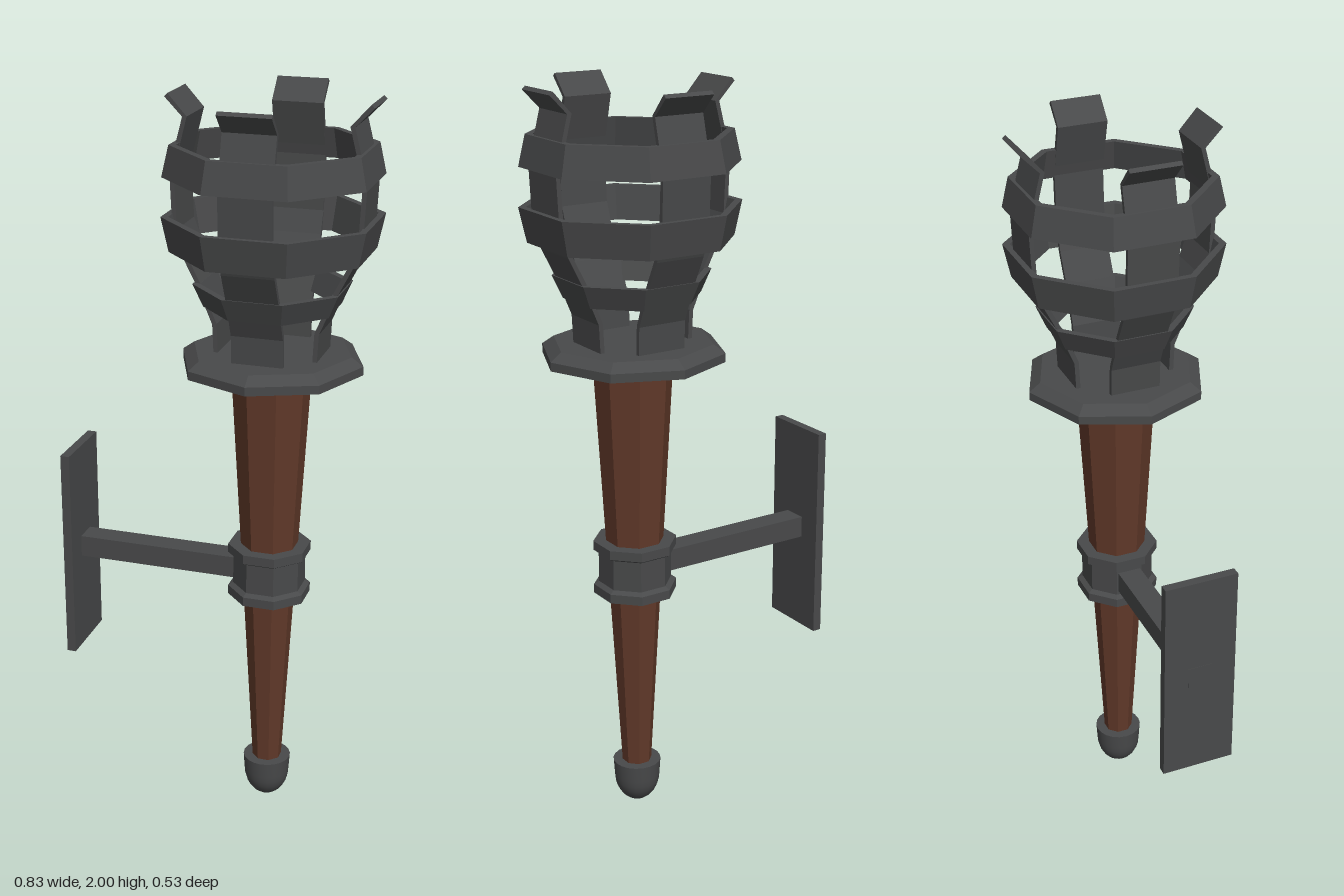
import * as THREE from 'three';
import { toCreasedNormals } from 'three/addons/utils/BufferGeometryUtils.js';

const AXIS_X = 0.148;
const FLAT = Math.PI / 8; // turns an octagon so its flats face the axes

export function createModel() {
  const model = new THREE.Group();
  model.name = 'wallTorch';
  const torch = new THREE.Group();
  torch.name = 'torch';
  torch.position.x = AXIS_X;
  model.add(torch);

  const iron = new THREE.MeshStandardMaterial({ color: 0x48494a, flatShading: true });
  const smoothIron = new THREE.MeshStandardMaterial({ color: 0x48494a });
  const wood = new THREE.MeshStandardMaterial({ color: 0x613929, flatShading: true });

  const add = (parent, name, geometry, material) => {
    const mesh = new THREE.Mesh(geometry, material);
    mesh.name = name;
    parent.add(mesh);
    return mesh;
  };
  const points = (list) => list.map(([a, b]) => new THREE.Vector2(a, b));

  // Eight-sided turning; profile radii are measured to the middle of a flat
  const octagon = (profile) => new THREE.LatheGeometry(
    points(profile.map(([r, y]) => [r / Math.cos(FLAT), y])), 8, FLAT);

  // Tapered wooden shaft
  add(torch, 'handle', octagon([[0, 0.1], [0.036, 0.1], [0.099, 1.31], [0, 1.31]]), wood);

  // Rounded pommel with a flat top
  const dome = [[0, 0.005]];
  for (let i = 1; i <= 7; i++) {
    const a = (i / 7) * Math.PI / 2;
    dome.push([0.063 * Math.sin(a), 0.085 - 0.08 * Math.cos(a)]);
  }
  dome.push([0.066, 0.13], [0, 0.13]);
  add(torch, 'pommel',
    toCreasedNormals(new THREE.LatheGeometry(points(dome), 20), 0.7), smoothIron);

  // Collar with a lip above and below
  add(torch, 'collar', octagon([
    [0.03, 0.645], [0.104, 0.645], [0.104, 0.67], [0.091, 0.678],
    [0.091, 0.762], [0.104, 0.77], [0.104, 0.795], [0.03, 0.795],
  ]), iron);

  // Bevelled plate under the basket, with corners on the axes
  add(torch, 'basketPlate', new THREE.LatheGeometry(points([
    [0, 1.3], [0.243, 1.3], [0.243, 1.323], [0.212, 1.345], [0, 1.345],
  ]), 8), iron);

  // Four bent upright straps
  const bend = points([
    [0.131, 1.335], [0.135, 1.42], [0.177, 1.52], [0.218, 1.6], [0.24, 1.66],
    [0.247, 1.81], [0.212, 1.945], [0.26, 1.996],
  ]);
  const offset = (d) => bend.map((p, i) => {
    const before = bend[Math.max(i - 1, 0)];
    const after = bend[Math.min(i + 1, bend.length - 1)];
    const t = after.clone().sub(before).normalize();
    return new THREE.Vector2(p.x + t.y * d, p.y - t.x * d);
  });
  const strapShape = new THREE.Shape([...offset(0.006), ...offset(-0.006).reverse()]);
  const strap = new THREE.ExtrudeGeometry(strapShape, { depth: 0.136, bevelEnabled: false });
  strap.translate(0, 0, -0.068);
  for (let i = 0; i < 4; i++) {
    add(torch, 'basketStrap' + (i + 1), strap, iron).rotation.y = i * Math.PI / 2;
  }

  // Three octagonal hoops: bottom y, bottom radius, top y, top radius
  const hoops = [
    [1.465, 0.165, 1.525, 0.19],
    [1.61, 0.245, 1.7, 0.263],
    [1.8, 0.26, 1.88, 0.243],
  ];
  hoops.forEach(([y0, r0, y1, r1], i) => {
    const t = 0.018;
    add(torch, 'basketHoop' + (i + 1), octagon([
      [r0 - t, y0], [r0, y0], [r1, y1], [r1 - t, y1], [r0 - t, y0],
    ]), iron);
  });

  // Wall bracket: arm passing into an upright back plate
  const arm = add(model, 'bracketArm', new THREE.BoxGeometry(0.486, 0.06, 0.066), iron);
  arm.position.set(-0.173, 0.72, 0);
  const plate = add(model, 'wallPlate', new THREE.BoxGeometry(0.025, 0.595, 0.2), iron);
  plate.position.set(-0.4025, 0.717, 0);

  return model;
}
